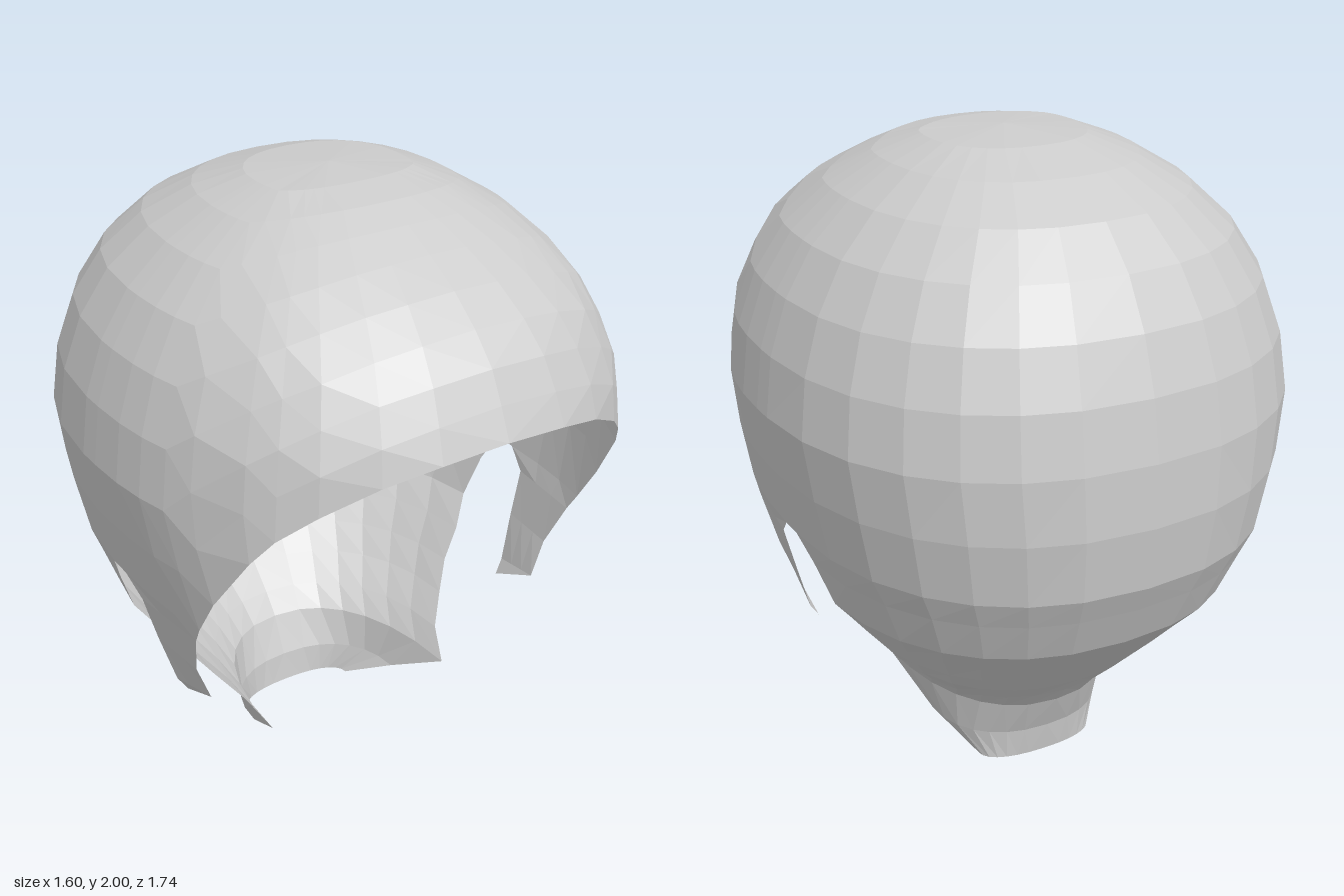
import * as THREE from 'three';

const material = new THREE.MeshStandardMaterial({ color: 0xcccccc, flatShading: true, side: THREE.DoubleSide });
const { lerp, degToRad } = THREE.MathUtils;

// Horizontal sections of the head: height, half width, depth to front, depth to back
const SECTIONS = [
  [2, 0, 0, 0], [1.985, 0.23, 0.24, 0.22], [1.9, 0.43, 0.45, 0.48], [1.82, 0.55, 0.6, 0.61],
  [1.68, 0.68, 0.77, 0.73], [1.48, 0.77, 0.87, 0.82], [1.26, 0.8, 0.89, 0.86], [1.1, 0.78, 0.94, 0.87],
  [0.87, 0.73, 1.02, 0.84], [0.64, 0.65, 1, 0.73], [0.41, 0.47, 1, 0.52], [0.28, 0.36, 1, 0.39],
  [0.2, 0.32, 1, 0.33], [0.1, 0.28, 1, 0.295], [0, 0.2, 1, 0.28],
];
const POWER = 1 / 1.15; // slightly squared ovals

// Blend the two nearest sections; the square root keeps the crown round
function section(y) {
  let i = 1;
  while (i < SECTIONS.length - 1 && SECTIONS[i][0] > y) i++;
  const [a, b] = [SECTIONS[i - 1], SECTIONS[i]];
  const root = (v) => Math.sqrt(Math.max(0, 2 - v));
  const t = (root(y) - root(a[0])) / (root(b[0]) - root(a[0]));
  return a.map((v, k) => lerp(v, b[k], t));
}

// Point on the head: angle 90 is the front, 0 the side, -90 the back
function headPoint(angle, y, zc = 0) {
  const [, w, front, back] = section(y);
  const a = degToRad(angle);
  const s = Math.pow(Math.abs(Math.sin(a)), POWER);
  const x = Math.abs(angle) === 90 ? 0 : w * Math.pow(Math.cos(a), POWER);
  return [x, y, angle > 0 ? zc + (front - zc) * s : zc - (back + zc) * s];
}

// Loft rows of points (top to bottom, front to back) on the left, then mirror them
function addSheet(group, name, rows) {
  for (const side of [1, -1]) {
    const n = rows[0].length;
    const positions = rows.flat().flatMap(([x, y, z]) => [x * side, y, z]);
    const index = [];
    for (let r = 0; r < rows.length - 1; r++) {
      for (let c = 0; c < n - 1; c++) {
        const a = r * n + c, b = a + 1, d = a + n, e = d + 1;
        if (side > 0) index.push(a, b, d, b, e, d);
        else index.push(a, d, b, b, d, e);
      }
    }
    const indexed = new THREE.BufferGeometry();
    indexed.setAttribute('position', new THREE.Float32BufferAttribute(positions, 3));
    indexed.setIndex(index);
    const geometry = indexed.toNonIndexed();
    geometry.computeVertexNormals();
    const mesh = new THREE.Mesh(geometry, material);
    mesh.name = (side > 0 ? 'left' : 'right') + name;
    group.add(mesh);
  }
}

export function createModel() {
  const group = new THREE.Group();
  group.name = 'hairCap';

  // Crown: columns run from the top down to the hairline [angle, height]
  const EAR_FRONT = 0.6, EAR_BACK = -2.75, EAR_TOP = 0.87;
  const hairline = [[90, 1.477], [77.7, 1.46], [65.8, 1.42], [53.5, 1.34], [45, 1.26], [38.3, 1.18], [26.5, 1], [20, EAR_TOP]];
  const burnAngles = [13.5, 7, EAR_FRONT];
  const backAngles = [EAR_BACK, -15, -28, -41, -53, -65, -77, -90];
  const columns = [...hairline, ...[...burnAngles, ...backAngles].map((a) => [a, EAR_TOP])];
  const crown = [];
  const RINGS = 9;
  for (let r = 0; r <= RINGS; r++) {
    const drop = 1 - Math.cos((r / RINGS) * Math.PI / 2);
    crown.push(columns.map(([a, bottom]) => headPoint(a, 2 - (2 - bottom) * drop)));
  }
  addSheet(group, 'Crown', crown);

  // Sideburns: height, front z, back z, front x, back x
  const burn = [[20, ...burnAngles].map((a) => headPoint(a, EAR_TOP))];
  for (const [y, zf, zb, xf, xb] of [
    [0.81, 0.365, 0.09, 0.685, 0.715], [0.66, 0.3, 0.1, 0.655, 0.675],
    [0.54, 0.3, 0.12, 0.61, 0.63], [0.46, 0.13, 0.13, 0.6, 0.6],
  ]) {
    burn.push([0, 1, 2, 3].map((i) => {
      const t = i / 3;
      const slant = y === 0.54 ? -0.035 * t : 0; // lower edge slopes to the tip
      return [lerp(xf, xb, t), y + slant, lerp(zf, zb, t)];
    }));
  }
  addSheet(group, 'Sideburn', burn);

  // Back of the head down to the nape: height, z of front edge, z of widest point
  const nape = [
    [0.87, -0.06, 0], [0.78, -0.1, 0], [0.64, -0.125, 0], [0.55, -0.07, 0], [0.46, -0.04, 0],
    [0.38, 0.02, 0.02], [0.3, 0.09, 0.09], [0.23, 0.19, 0.19], [0.1, -0.03, -0.03], [0, -0.2, -0.2],
  ].map(([y, edge, zc], row) => {
    const back = section(y)[3];
    const start = row === 0 ? EAR_BACK
      : -THREE.MathUtils.radToDeg(Math.asin(Math.pow((zc - edge) / (back + zc), 1 / POWER)));
    return backAngles.map((a) => {
      const t = (a - EAR_BACK) / (-90 - EAR_BACK);
      return headPoint(t === 1 ? -90 : lerp(start, -90, t), y, zc);
    });
  });
  addSheet(group, 'Nape', nape);

  return group;
}
